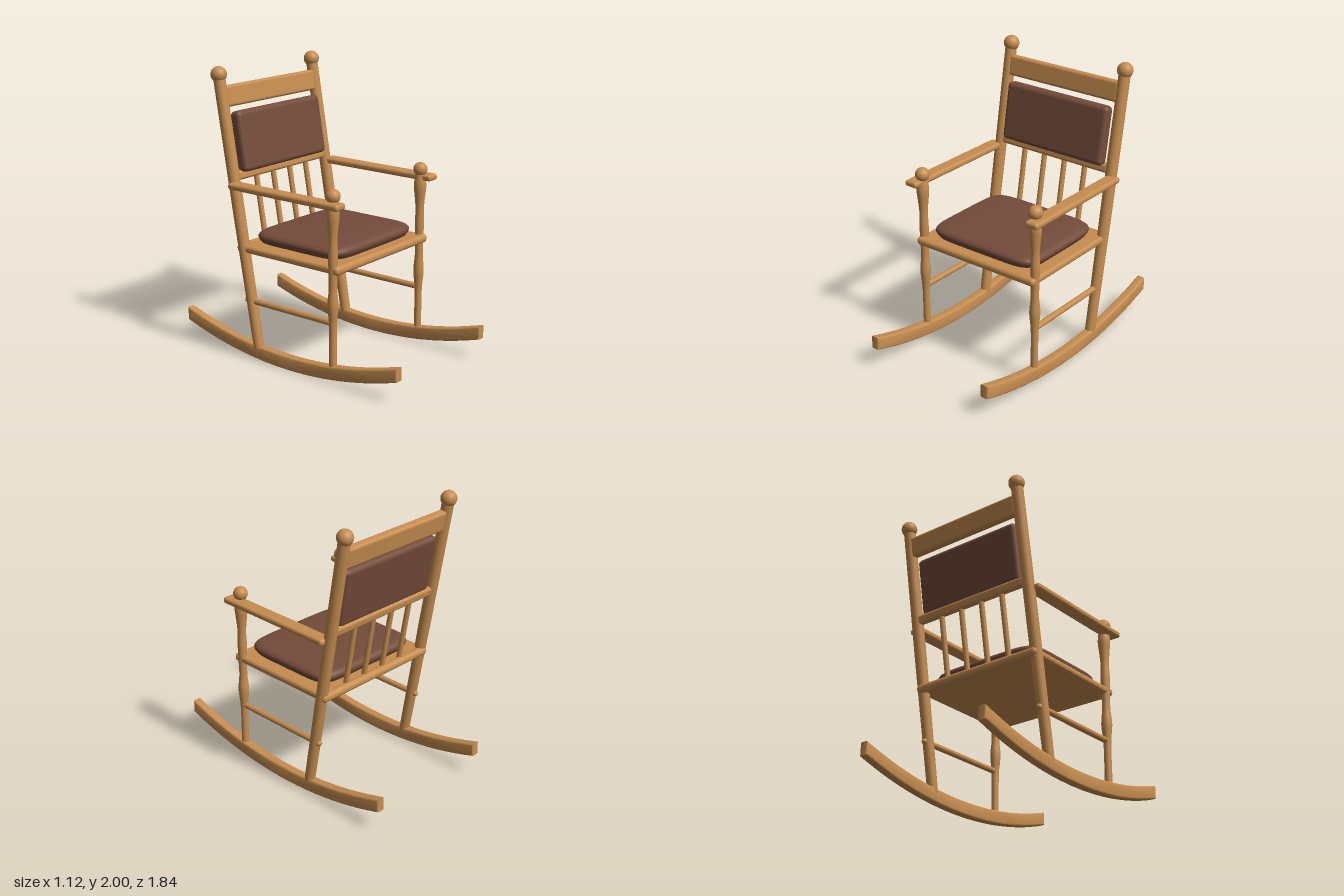
import * as THREE from 'three';
import { RoundedBoxGeometry } from 'three/addons/geometries/RoundedBoxGeometry.js';
import { mergeVertices, toCreasedNormals } from 'three/addons/utils/BufferGeometryUtils.js';

const wood = new THREE.MeshStandardMaterial({ color: 0xc68d50 });
wood.name = 'wood';
const leather = new THREE.MeshStandardMaterial({ color: 0x744c3b });
leather.name = 'leather';

const SIDE_X = 0.48;
const TILT = 0.172; // backward lean of the backrest
const FOOT = { y: 0.08, z: -0.265 }; // lower end of the back posts

function add(parent, name, geometry, material, x = 0, y = 0, z = 0) {
  const mesh = new THREE.Mesh(geometry, material);
  mesh.name = name;
  mesh.position.set(x, y, z);
  parent.add(mesh);
  return mesh;
}

const box = (w, h, d, r) => new RoundedBoxGeometry(w, h, d, 4, r);
const lathe = (points) =>
  new THREE.LatheGeometry(points.map(([r, y]) => new THREE.Vector2(r, y)), 24);

// Curved runner with constant vertical thickness
function rockerGeometry() {
  const R = 2.9, half = 0.91, steps = 32, b = 0.012;
  const arc = (z) => R - Math.sqrt(R * R - z * z);
  const lower = [], upper = [];
  for (let i = 0; i <= steps; i++) {
    const z = -half + (2 * half * i) / steps;
    lower.push(new THREE.Vector2(z, arc(z) + b));
    upper.unshift(new THREE.Vector2(z, arc(z) + 0.095 - b));
  }
  const g = new THREE.ExtrudeGeometry(new THREE.Shape([...lower, ...upper]), {
    depth: 0.064 - 2 * b, bevelEnabled: true, bevelSize: b, bevelThickness: b, bevelSegments: 3,
  });
  g.translate(0, 0, -0.032 + b);
  g.rotateY(Math.PI / 2);
  return toCreasedNormals(g, 0.6);
}

// Turned front leg, with swellings below the seat and below the arm
function frontPostGeometry() {
  const curve = new THREE.SplineCurve([
    [0.026, 0.07], [0.025, 0.3], [0.027, 0.42], [0.037, 0.535], [0.028, 0.65], [0.03, 0.78],
    [0.032, 0.88], [0.029, 0.98], [0.036, 1.07], [0.043, 1.14], [0.04, 1.19], [0.032, 1.24],
  ].map(([r, y]) => new THREE.Vector2(r, y)));
  return new THREE.LatheGeometry(curve.getPoints(48), 24);
}

// Domed pad: a round profile squared off into a superellipse outline
function seatCushionGeometry(halfX, halfZ) {
  const profile = new THREE.SplineCurve([
    [0, 0.81], [0.5, 0.81], [0.9, 0.812], [0.965, 0.825], [1, 0.855],
    [0.97, 0.88], [0.87, 0.894], [0.5, 0.903], [0, 0.905],
  ].map(([r, y]) => new THREE.Vector2(r, y)));
  let g = new THREE.LatheGeometry(profile.getPoints(48), 96);
  const p = g.attributes.position, n = 7;
  for (let i = 0; i < p.count; i++) {
    const x = p.getX(i), z = p.getZ(i), r = Math.hypot(x, z);
    if (r < 1e-5) { p.setXYZ(i, 0, p.getY(i), 0); continue; }
    const k = Math.pow(Math.abs(x / r) ** n + Math.abs(z / r) ** n, -1 / n);
    p.setXYZ(i, x * k * halfX, p.getY(i), z * k * halfZ);
  }
  g.deleteAttribute('uv');
  g.deleteAttribute('normal');
  g = mergeVertices(g, 1e-5);
  g.computeVertexNormals();
  return g;
}

export function createModel() {
  const chair = new THREE.Group();
  chair.name = 'rockingChair';

  // Seat
  add(chair, 'seatBoard', box(1.01, 0.052, 0.84, 0.022), wood, 0, 0.777, 0.003);
  for (const [name, z] of [['frontSeatRail', 0.415], ['backSeatRail', -0.408]]) {
    add(chair, name, box(1.015, 0.06, 0.06, 0.027), wood, 0, 0.777, z);
  }
  add(chair, 'seatCushion', seatCushionGeometry(0.44, 0.38), leather, 0, 0, 0.013);

  // Backrest, built upright and then leaned back
  const back = new THREE.Group();
  back.name = 'backrest';
  back.position.set(0, FOOT.y, FOOT.z);
  back.rotation.x = -TILT;
  chair.add(back);
  const up = (y) => (y - FOOT.y) / Math.cos(TILT);

  add(back, 'topRail', box(0.92, 0.145, 0.06, 0.02), wood, 0, up(1.795), 0);
  add(back, 'lowerRail', box(0.92, 0.065, 0.055, 0.02), wood, 0, up(1.265), 0);
  add(back, 'backCushion', box(0.85, 0.415, 0.09, 0.032), leather, 0, up(1.485), 0.03);
  const spindleLength = up(1.26) - up(0.78);
  for (let i = 0; i < 4; i++) {
    add(back, 'backSpindle', new THREE.CylinderGeometry(0.019, 0.019, spindleLength, 16), wood,
      -0.26 + i * 0.1733, up(0.78) + spindleLength / 2, 0);
  }

  // Parts repeated on both sides
  for (const [side, s] of [['left', 1], ['right', -1]]) {
    const x = s * SIDE_X;
    const postTop = up(1.945);
    add(back, side + 'BackPost', lathe([[0, -0.005], [0.03, -0.005], [0.036, 0.005],
      [0.041, postTop * 0.5], [0.041, postTop]]), wood, x, 0, 0);
    add(back, side + 'BackPostBall', new THREE.SphereGeometry(0.055, 32, 20), wood, x, postTop, 0);

    add(chair, side + 'FrontPost', frontPostGeometry(), wood, x, 0, 0.387);
    add(chair, side + 'FrontPostBall', new THREE.SphereGeometry(0.049, 32, 20), wood,
      x, 1.267, 0.387);
    add(chair, side + 'Armrest', box(0.1, 0.044, 0.938, 0.018), wood, s * 0.51, 1.213, 0.01);

    const stretcher = new THREE.CapsuleGeometry(0.021, 0.718, 6, 16);
    stretcher.rotateX(Math.PI / 2);
    add(chair, side + 'Stretcher', stretcher, wood, x, 0.415, 0);
    add(chair, side + 'Rocker', rockerGeometry(), wood, x, 0, 0);
  }
  return chair;
}
